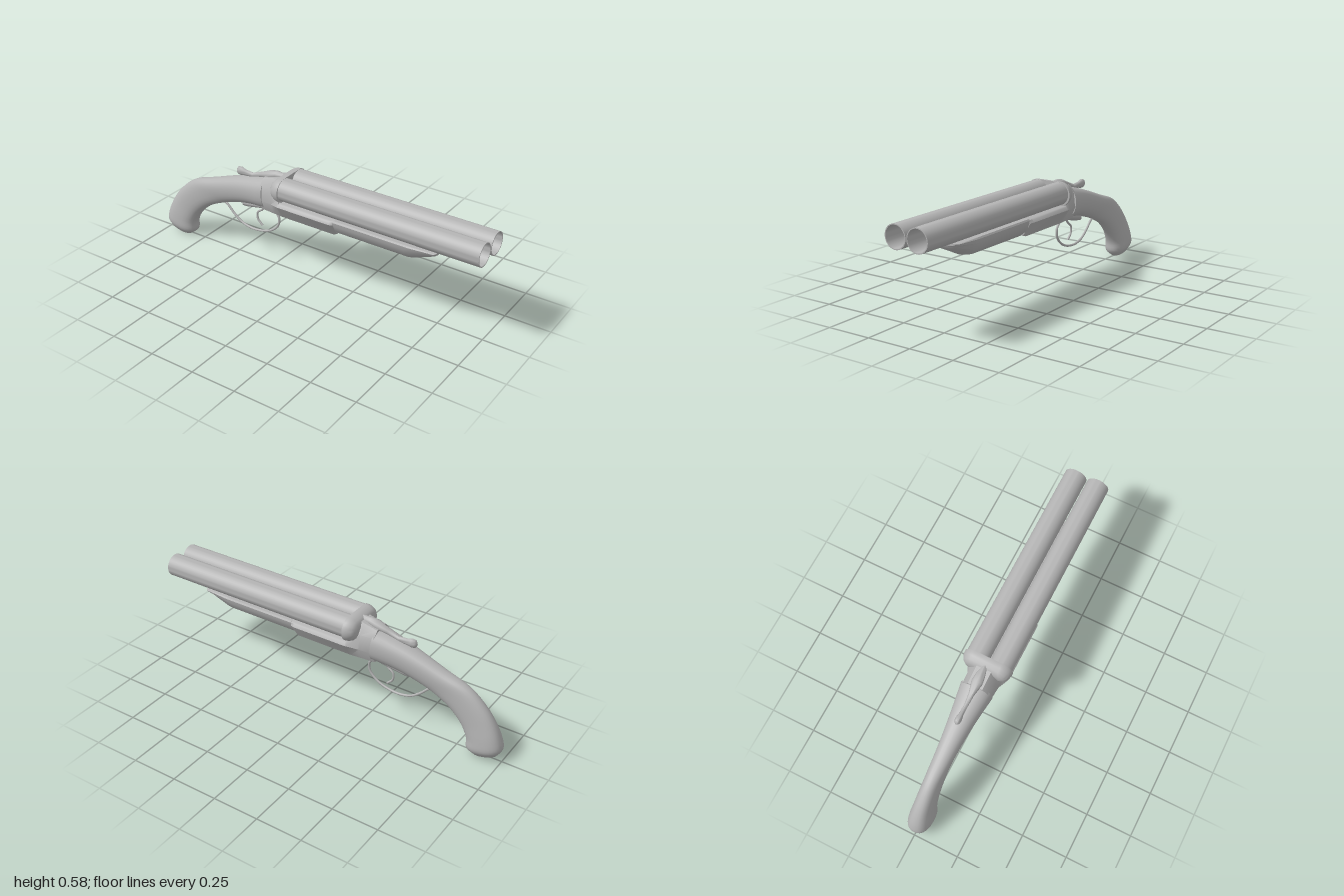
import * as THREE from 'three';
import { toCreasedNormals } from 'three/addons/utils/BufferGeometryUtils.js';

const V = (x, y, z = 0) => new THREE.Vector3(x, y, z);

// Skin a list of closed rings (running from back to front) and cap both ends
function loft(rings, crease = 0.6) {
  const n = rings[0].length, pos = [], idx = [];
  rings.forEach(r => r.forEach(p => pos.push(p.x, p.y, p.z)));
  for (let i = 0; i < rings.length - 1; i++) {
    for (let j = 0; j < n; j++) {
      const k = (j + 1) % n, a = i * n + j, c = i * n + k;
      idx.push(a, c, a + n, a + n, c, c + n);
    }
  }
  [0, rings.length - 1].forEach(e => {
    const m = rings[e].reduce((s, p) => s.add(p), V(0, 0)).divideScalar(n);
    const centre = pos.length / 3;
    pos.push(m.x, m.y, m.z);
    for (let j = 0; j < n; j++) {
      const a = e * n + j, b = e * n + (j + 1) % n;
      if (e) idx.push(centre, a, b); else idx.push(centre, b, a);
    }
  });
  const g = new THREE.BufferGeometry();
  g.setAttribute('position', new THREE.Float32BufferAttribute(pos, 3));
  g.setIndex(idx);
  return toCreasedNormals(g, crease);
}

// Rounded ring between a top and a bottom point, with half width w
function oval(top, bottom, w, power = 0.85, n = 28) {
  const c = top.clone().add(bottom).multiplyScalar(0.5), up = top.clone().sub(c);
  const bulge = v => Math.sign(v) * Math.abs(v) ** power;
  return Array.from({ length: n }, (_, i) => {
    const a = i / n * Math.PI * 2;
    const p = c.clone().addScaledVector(up, bulge(Math.cos(a)));
    p.z = w * bulge(Math.sin(a));
    return p;
  });
}

// Mirrored ring from a half section of [y, half width], listed from top to bottom
const mirrored = (x, half) => [
  ...half.map(([y, w]) => V(x, y, w)),
  ...[...half].reverse().map(([y, w]) => V(x, y, -w)),
];

// Loft through [x, top y, bottom y, half width] rows
const ovalLoft = rows => loft(rows.map(([x, t, b, w]) => oval(V(x, t), V(x, b), w, 1, 14)), 1);

export function createModel() {
  const group = new THREE.Group();
  const grey = new THREE.MeshStandardMaterial({ color: 0xb4b4b4 });
  grey.name = 'grey';
  const add = (name, geometry) => {
    const mesh = new THREE.Mesh(geometry, grey);
    mesh.name = name;
    group.add(mesh);
    return mesh;
  };

  // Curved pistol grip: [top x, top y, bottom x, bottom y, half width]
  const grip = [
    [-0.975, 0.035, -0.845, 0.004, 0.04],
    [-0.997, 0.075, -0.808, 0.035, 0.062],
    [-0.985, 0.13, -0.803, 0.09, 0.061],
    [-0.95, 0.205, -0.765, 0.16, 0.053],
    [-0.895, 0.28, -0.69, 0.23, 0.048],
    [-0.8, 0.36, -0.59, 0.28, 0.046],
    [-0.66, 0.41, -0.5, 0.312, 0.052],
    [-0.47, 0.476, -0.4, 0.338, 0.066],
    [-0.28, 0.53, -0.27, 0.353, 0.088],
  ];
  const topCurve = new THREE.CatmullRomCurve3(grip.map(s => V(s[0], s[1], s[4])));
  const bottomCurve = new THREE.CatmullRomCurve3(grip.map(s => V(s[2], s[3], 0)));
  const gripRings = [];
  for (let i = 0; i <= 32; i++) {
    const t = topCurve.getPoint(i / 32), b = bottomCurve.getPoint(i / 32), w = t.z;
    t.z = b.z = 0;
    gripRings.push(oval(t, b, w));
  }
  add('grip', loft(gripRings, 0.9));

  // Receiver, tall behind the breech and low under the barrels
  const low = [[0.455, 0.1], [0.45, 0.11], [0.435, 0.119], [0.357, 0.069]];
  add('receiver', loft([
    mirrored(-0.29, [[0.535, 0.04], [0.5, 0.07], [0.42, 0.082], [0.357, 0.058]]),
    mirrored(-0.21, [[0.552, 0.04], [0.5, 0.075], [0.42, 0.088], [0.357, 0.064]]),
    mirrored(-0.155, [[0.565, 0.04], [0.47, 0.1], [0.435, 0.117], [0.357, 0.069]]),
    mirrored(-0.145, low),
    mirrored(0.17, low),
    mirrored(0.188, [[0.455, 0.095], [0.45, 0.104], [0.433, 0.11], [0.364, 0.065]]),
  ]));

  // Breech block with rounded back
  const stadium = (x, s) => Array.from({ length: 32 }, (_, i) => {
    const a = (i + 0.5) / 32 * Math.PI * 2;
    return V(x, 0.515 + 0.066 * s * Math.cos(a), Math.sign(Math.sin(a)) * 0.067 + 0.066 * s * Math.sin(a));
  });
  add('breech', loft([[-0.202, 0.3], [-0.197, 0.58], [-0.185, 0.8], [-0.165, 0.95], [-0.15, 1], [-0.138, 1]]
    .map(([x, s]) => stadium(x, s)), 0.75));

  // Hollow twin barrels
  const wall = [[0.056, -0.14], [0.061, -0.14], [0.061, 1], [0.056, 1], [0.056, -0.14]];
  const barrel = toCreasedNormals(
    new THREE.LatheGeometry(wall.map(([r, y]) => new THREE.Vector2(r, y)), 40).rotateZ(-Math.PI / 2), 0.6);
  for (const side of [1, -1]) {
    add(side > 0 ? 'frontBarrel' : 'backBarrel', barrel).position.set(0, 0.519, side * 0.0635);
  }

  // Fore-end with a keel shaped underside and sloped nose
  const foreEnd = (x, bottom, w) => {
    const d = 0.455 - bottom;
    return mirrored(x, [[0.455, w * 0.95], [0.455 - d * 0.08, w], [0.455 - d * 0.28, w * 0.96],
      [0.455 - d * 0.65, w * 0.78], [0.455 - d * 0.92, w * 0.45], [bottom, w * 0.1]]);
  };
  add('foreEnd', loft([
    foreEnd(0.188, 0.352, 0.106), foreEnd(0.59, 0.352, 0.106), foreEnd(0.62, 0.358, 0.106),
    foreEnd(0.75, 0.42, 0.1), foreEnd(0.762, 0.437, 0.09),
  ], 0.7));

  // Opening lever with a thumb knob
  add('topLever', ovalLoft([
    [-0.495, 0.513, 0.5, 0.005], [-0.485, 0.528, 0.485, 0.015], [-0.465, 0.531, 0.482, 0.017],
    [-0.44, 0.522, 0.487, 0.012], [-0.39, 0.517, 0.488, 0.01], [-0.33, 0.54, 0.505, 0.015],
    [-0.27, 0.565, 0.52, 0.03], [-0.23, 0.572, 0.53, 0.025], [-0.18, 0.57, 0.53, 0.012],
  ]));

  // Plate under the grip
  add('triggerPlate', ovalLoft([
    [-0.46, 0.34, 0.3, 0.012], [-0.42, 0.36, 0.306, 0.025],
    [-0.3, 0.38, 0.333, 0.035], [-0.25, 0.38, 0.343, 0.03],
  ]));

  // Trigger guard and trigger
  const tube = (points, r) => new THREE.TubeGeometry(
    new THREE.CatmullRomCurve3(points.map(p => V(...p))), 40, r, 8);
  add('triggerGuard', tube([[-0.6, 0.288], [-0.575, 0.275], [-0.527, 0.228], [-0.47, 0.189], [-0.39, 0.174],
    [-0.286, 0.198], [-0.229, 0.25], [-0.224, 0.3], [-0.25, 0.33], [-0.28, 0.352]], 0.0065));
  add('trigger', tube([[-0.31, 0.345], [-0.325, 0.32], [-0.318, 0.275], [-0.335, 0.235], [-0.37, 0.235]]
    .map(([x, y], i) => [[-0.31, 0.345], [-0.335, 0.312], [-0.366, 0.285], [-0.364, 0.246], [-0.334, 0.214]][i]), 0.006));

  return group;
}
